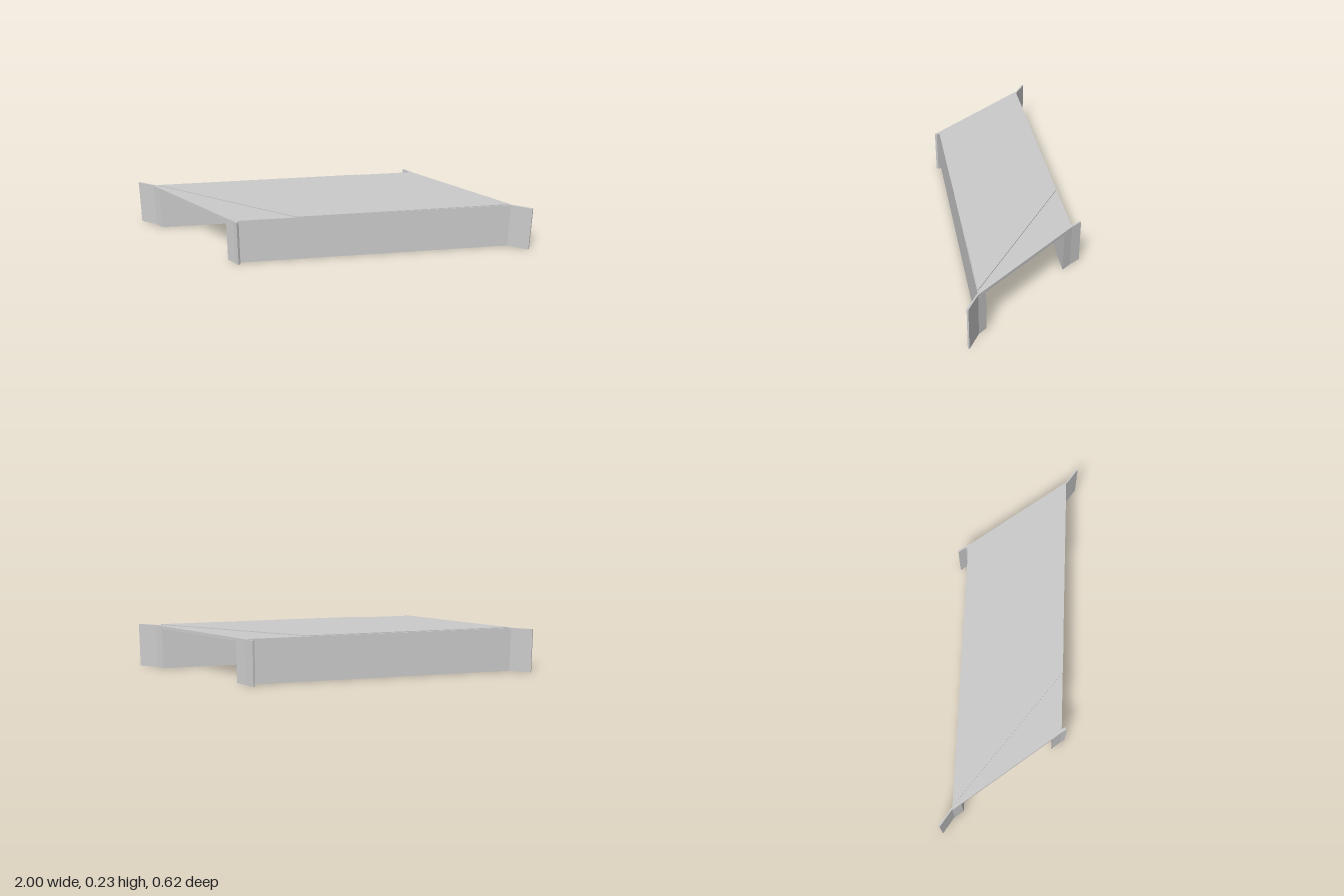
import * as THREE from 'three';

const material = new THREE.MeshStandardMaterial({ color: 0xcccccc, flatShading: true });

// Upright prism from a plan outline of [x, z] points, between two heights
function prism(name, plan, y0, y1) {
  const shape = new THREE.Shape(plan.map(([x, z]) => new THREE.Vector2(x, z)));
  const geometry = new THREE.ExtrudeGeometry(shape, { depth: y1 - y0, bevelEnabled: false });
  geometry.rotateX(Math.PI / 2).translate(0, y1, 0);
  const mesh = new THREE.Mesh(geometry, material);
  mesh.name = name;
  return mesh;
}

export function createModel() {
  const group = new THREE.Group();
  group.name = 'skewBridge';
  const soffit = 0.212, top = 0.228, crown = 0.2325;

  // Plan corners of the skewed deck
  const backRight = [-0.917, -0.222], backLeft = [0.493, -0.258];
  const frontLeft = [0.912, 0.249], frontRight = [-0.502, 0.285];

  group.add(prism('deck', [backRight, backLeft, frontLeft, frontRight], soffit, top));

  // Raised slab, skewed further than the deck
  group.add(prism('raisedSlab',
    [[-0.89, -0.216], [0.18, -0.244], [0.885, 0.246], [-0.19, 0.278]], top, crown));

  // Long side walls, their ends cut along the skew
  group.add(prism('frontWall', [frontRight, frontLeft, [0.88, 0.21], [-0.536, 0.245]], 0, soffit));
  group.add(prism('backWall', [backRight, backLeft, [0.53, -0.213], [-0.883, -0.181]], 0, soffit));

  // Thin wing walls flaring from the acute corners
  for (const [name, s] of [['frontLeftWing', 1], ['backRightWing', -1]]) {
    const dz = s > 0 ? 0 : -0.027;
    group.add(prism(name, [[0.912, 0.249], [1, 0.302], [0.994, 0.309], [0.9, 0.25]]
      .map(([x, z]) => [s * x, s * (z + dz)]), 0, top));
  }

  // Short wings continuing the end faces past the obtuse corners
  group.add(prism('frontRightWing',
    [frontRight, [-0.485, 0.31], [-0.475, 0.3], [-0.485, 0.284]], 0, top));
  group.add(prism('backLeftWing',
    [backLeft, [0.46, -0.31], [0.45, -0.305], [0.478, -0.27], [0.473, -0.257]], 0, top));

  return group;
}
